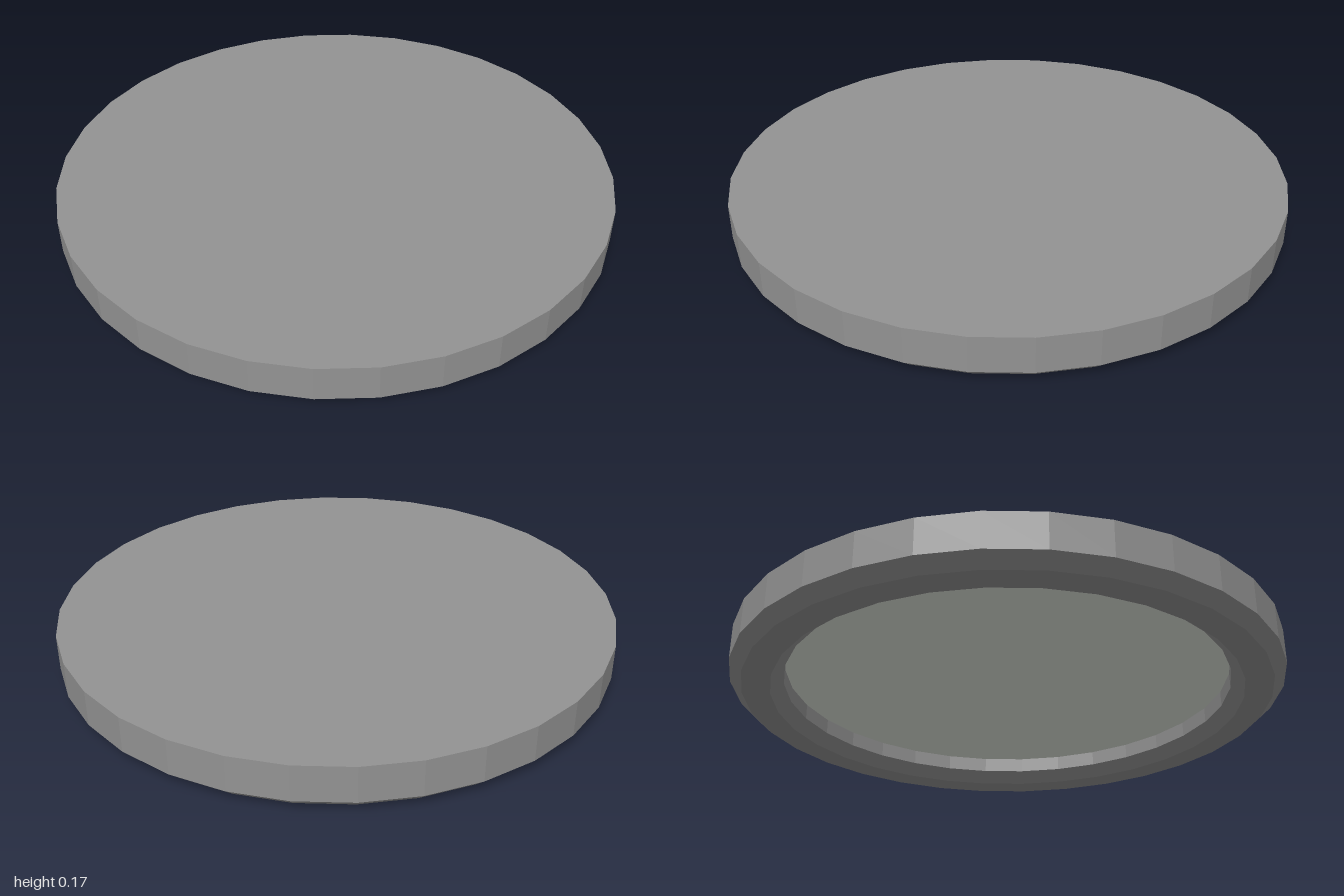
import * as THREE from 'three';

const SIDES = 32;
const HEIGHT = 0.17;
const FLOOR = 0.098;
const RECESS = 0.81;

export function createModel() {
  const model = new THREE.Group();
  model.name = 'lid';
  const bodyMaterial = new THREE.MeshStandardMaterial({ color: 0x939393, flatShading: true });
  const linerMaterial = new THREE.MeshStandardMaterial({ color: 0xe0e5dc, flatShading: true });

  // Body: recess wall, inner bevel, flat foot, outer bevel, outer wall, flat top
  const profile = [
    [RECESS, FLOOR], [RECESS, 0.042], [0.855, 0],
    [0.955, 0], [1, 0.042], [1, HEIGHT], [0, HEIGHT],
  ].map(([r, y]) => new THREE.Vector2(r, y));
  const body = new THREE.Mesh(new THREE.LatheGeometry(profile, SIDES), bodyMaterial);
  body.name = 'body';
  model.add(body);

  // Pale liner closing the recess, facing down
  const liner = new THREE.Mesh(new THREE.CircleGeometry(RECESS, SIDES).rotateX(Math.PI / 2), linerMaterial);
  liner.name = 'liner';
  liner.position.y = FLOOR;
  model.add(liner);

  return model;
}
